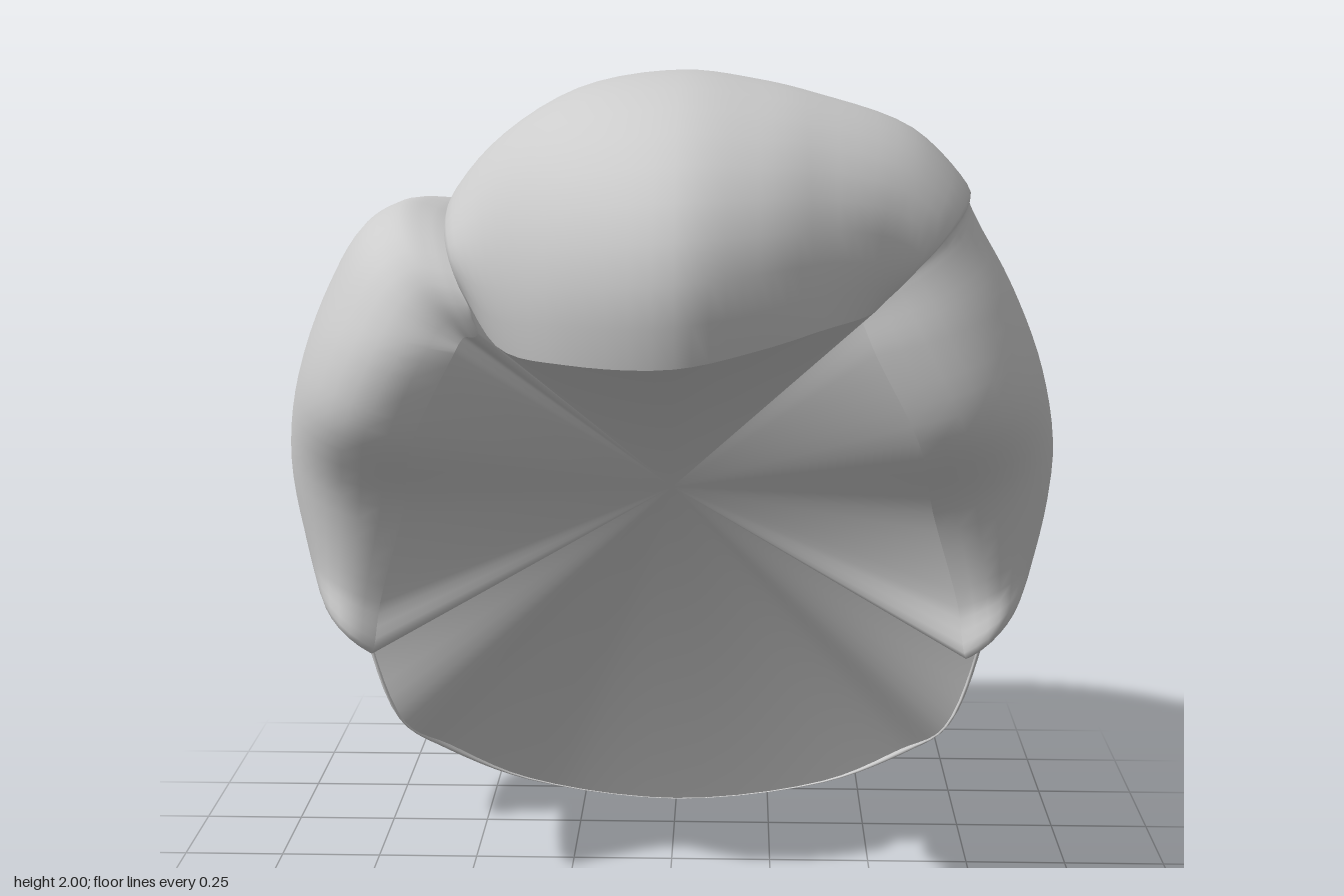
import * as THREE from 'three';
import { mergeVertices } from 'three/addons/utils/BufferGeometryUtils.js';

// Each station runs round the head: widest point (x, y, z), then rim point (x, y, z).
const SIDE = [
  [0.4, 0.06, -0.45, 0.4, 0.07, -0.38],
  [0.6, 0.17, -0.4, 0.6, 0.2, -0.28],
  [0.73, 0.32, -0.3, 0.7, 0.3, -0.17],
  [0.8, 0.55, -0.2, 0.77, 0.5, -0.14],
  [0.82, 0.68, -0.15, 0.79, 0.67, -0.1],
  [0.84, 0.74, -0.05, 0.8, 0.71, 0.05],
  [0.86, 0.78, 0, 0.7, 0.64, 0.31], // tip of the side lock
  [0.89, 0.86, 0, 0.68, 0.76, 0.29],
  [0.92, 1.08, 0.02, 0.61, 1.0, 0.35],
  [0.88, 1.3, 0.05, 0.56, 1.2, 0.51],
  [0.8, 1.5, 0.08, 0.46, 1.4, 0.54],
];
const FRINGE = [
  [0.72, 1.64, 0.1, 0.42, 1.49, 0.53],
  [0.69, 1.7, 0.12, 0.41, 1.5, 0.53], // fold under the fringe
  [0.68, 1.74, 0.2, 0.46, 1.51, 0.57],
  [0.55, 1.87, 0.25, 0.43, 1.5, 0.63],
  [0.33, 1.95, 0.3, 0.34, 1.49, 0.74],
  [0.2, 1.98, 0.3, 0.2, 1.46, 0.83],
  [0.03, 2, 0.3, 0.03, 1.43, 0.88],
  [-0.2, 1.96, 0.3, -0.2, 1.42, 0.78],
  [-0.4, 1.83, 0.28, -0.36, 1.43, 0.61],
  [-0.5, 1.69, 0.22, -0.44, 1.53, 0.52],
  [-0.48, 1.66, 0.2, -0.41, 1.44, 0.5], // fold beside the fringe
  [-0.54, 1.68, 0.17, -0.42, 1.43, 0.5],
  [-0.62, 1.69, 0.15, -0.44, 1.43, 0.5],
  [-0.71, 1.64, 0.12, -0.45, 1.42, 0.52],
];
const mirrored = SIDE.map(([a, b, c, d, e, f]) => [-a, b, c, -d, e, f]).reverse();
const STATIONS = [[0, 0, -0.5, 0, 0, -0.42], ...SIDE, ...FRINGE, ...mirrored];

const STEPS = 5, BACK = 14, FRONT = 10, CURL = 1.22;
const POLE = new THREE.Vector3(0, 0.98, -0.92);
const APEX = new THREE.Vector3(0, 0.96, -0.07);

function ringPoints(offset) {
  const keys = STATIONS.map((s) => new THREE.Vector3(s[offset], s[offset + 1], s[offset + 2]));
  const curve = new THREE.CatmullRomCurve3(keys, true, 'centripetal');
  const n = keys.length * STEPS;
  return Array.from({ length: n }, (_, i) => curve.getPoint(i / n));
}

// Plain oval outline that the locks melt into towards the back
function ovalPoint(p) {
  const dx = p.x - POLE.x, dy = p.y - POLE.y;
  const k = 1 / Math.hypot(dx / 0.93, dy / 1.01);
  const v = dy * k / 1.01;
  return new THREE.Vector3(POLE.x + dx * k, POLE.y + dy * k, 0.01 + 0.39 * v - 0.1 * v * v);
}

// Quarter oval from the back pole to the widest point, then one curling in to the rim
function meridian(wide, rim) {
  const pts = [], oval = ovalPoint(wide);
  // The crown and sides are fuller than the nape
  const fullness = 0.88 + 0.2 * Math.min(0, oval.y - POLE.y) ** 2;
  for (let j = 0; j <= BACK; j++) {
    const t = j / BACK, a = t * Math.PI / 2, s = Math.sin(a) ** fullness;
    const w = oval.clone().lerp(wide, THREE.MathUtils.smoothstep(t, 0.4, 1));
    pts.push(new THREE.Vector3(
      POLE.x + (w.x - POLE.x) * s,
      POLE.y + (w.y - POLE.y) * s,
      w.z + (POLE.z - w.z) * Math.cos(a)));
  }
  for (let j = 1; j <= FRONT; j++) {
    const b = (j / FRONT) * Math.PI / 2, k = 1 - Math.cos(b);
    const f = Math.sin(b * CURL) / Math.sin(CURL * Math.PI / 2);
    pts.push(new THREE.Vector3(
      wide.x + (rim.x - wide.x) * k,
      wide.y + (rim.y - wide.y) * k,
      wide.z + (rim.z - wide.z) * f));
  }
  return pts;
}

function smoothGeometry(points, index) {
  const g = new THREE.BufferGeometry().setFromPoints(points);
  g.setIndex(index);
  const merged = mergeVertices(g, 1e-5);
  merged.computeVertexNormals();
  return merged;
}

export function createModel() {
  const group = new THREE.Group();
  group.name = 'hair';
  const grey = new THREE.MeshStandardMaterial({ color: 0xcccccc, side: THREE.DoubleSide });
  grey.name = 'light grey';

  const wide = ringPoints(0), rim = ringPoints(3);
  const n = wide.length, m = BACK + FRONT + 1;

  // Outer hair: back, side locks and swept fringe
  const points = wide.flatMap((w, i) => meridian(w, rim[i]));
  const index = [];
  for (let i = 0; i < n; i++) {
    const p = i * m, q = ((i + 1) % n) * m;
    for (let j = 0; j < m - 1; j++) {
      if (j > 0) index.push(p + j, q + j, p + j + 1);
      index.push(q + j, q + j + 1, p + j + 1);
    }
  }
  const outer = new THREE.Mesh(smoothGeometry(points, index), grey);
  outer.name = 'outerHair';

  // Hollow inside: a fan from the rim to one inner point
  const fan = [];
  for (let i = 0; i < n; i++) fan.push(n, i, (i + 1) % n);
  const inner = new THREE.Mesh(smoothGeometry([...rim, APEX], fan), grey);
  inner.name = 'innerHollow';

  group.add(outer, inner);
  return group;
}
